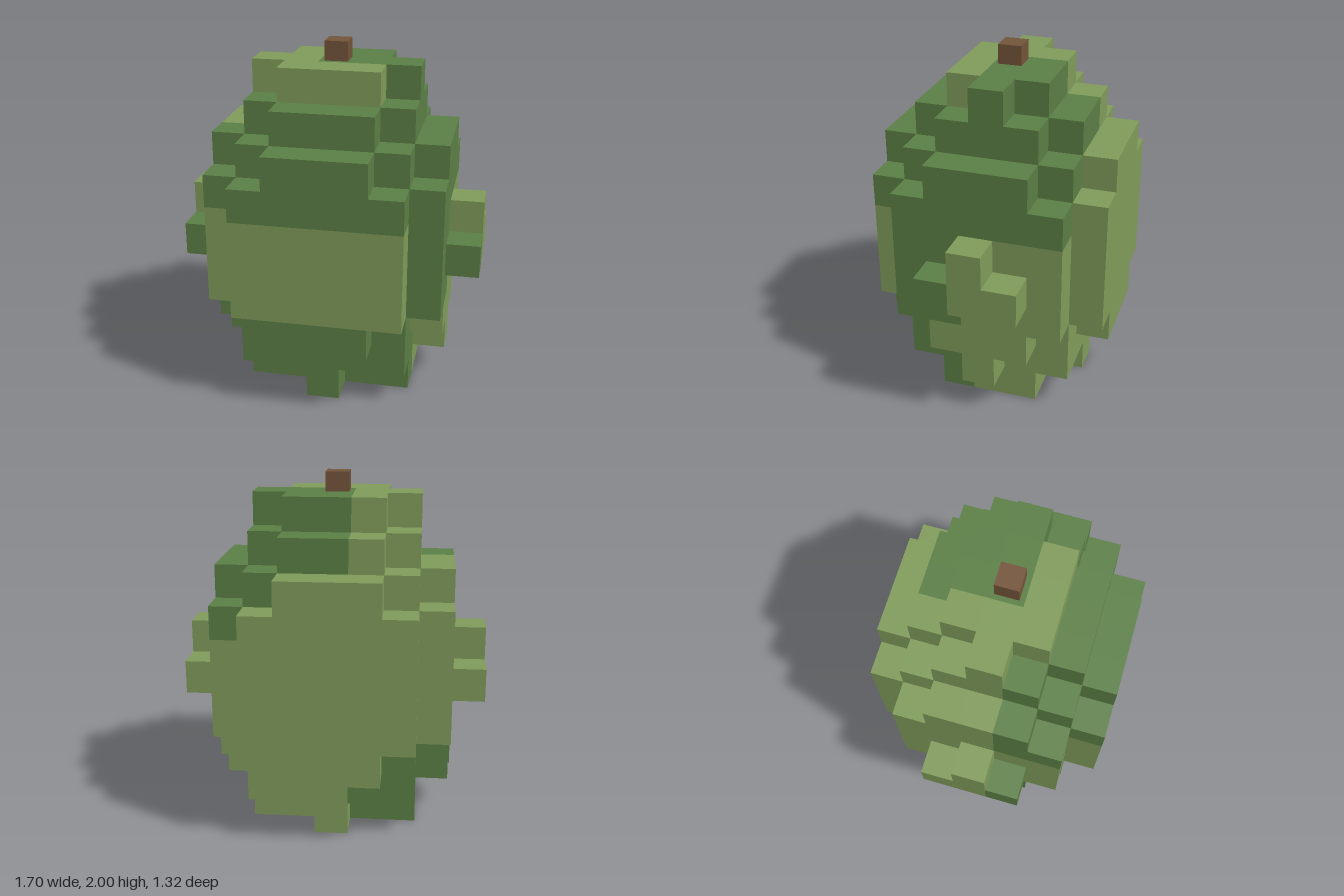
import * as THREE from 'three';
import { mergeGeometries } from 'three/addons/utils/BufferGeometryUtils.js';

const U = 0.189; // edge of one block

const lightGreen = new THREE.MeshStandardMaterial({ color: 0x809b5a });
lightGreen.name = 'light green';
const darkGreen = new THREE.MeshStandardMaterial({ color: 0x5b7f45 });
darkGreen.name = 'dark green';
const brown = new THREE.MeshStandardMaterial({ color: 0x73543a });
brown.name = 'stem brown';

// Block occupancy: mirrored left/right and front/back, layers counted upward
function solid(x, y, z) {
  const a = Math.abs(x), b = Math.abs(z);
  switch (y) {
    case 0: return (a <= 2 && b <= 1) || (a === 0 && b === 2);
    case 1: return (a <= 2 && b <= 2) || (a === 3 && b === 0);
    case 2:
    case 7: return (a <= 2 && b <= 2) || (a === 3 && b <= 1) || (a <= 1 && b === 3);
    case 3: case 4: case 5: case 6:
      if (a === 4) return (y === 4 && b <= 1) || (y === 5 && b === 0);
      return (a <= 2 && b <= 3) || (a === 3 && b <= 2);
    case 8: return (a <= 2 && b <= 1) || (a <= 1 && b === 2);
    case 9: return (a <= 1 && b <= 1) || (a === 2 && b === 0);
    default: return false;
  }
}

// Large colour patches on the rind
function isLight(x, y, z) {
  if (y === 9) return z >= 1 || x <= -1;
  if (y >= 6) return z === -3 || (z <= 0 && x <= -1);
  if (y >= 3) return !(z >= 1 && (x === 3 || Math.abs(x) === 4));
  if (z >= 1) return y === 2 && x === 3;
  return x >= 0 || z === -3;
}

function partOf(x, y) {
  if (Math.abs(x) === 4) return x > 0 ? 'leftKnob' : 'rightKnob';
  return y >= 8 ? 'crown' : y >= 3 ? 'body' : 'base';
}

// Outward directions with the turn that aims a plane that way
const H = Math.PI / 2;
const SIDES = [
  [0, 0, 1, 0, 0], [0, 0, -1, 0, Math.PI],
  [1, 0, 0, 0, H], [-1, 0, 0, 0, -H],
  [0, 1, 0, -H, 0], [0, -1, 0, H, 0],
];

export function createModel() {
  const model = new THREE.Group();
  model.name = 'blockFruit';
  const parts = {};

  // Collect the exposed faces of every block by part and colour
  for (let y = 0; y < 10; y++)
    for (let x = -4; x <= 4; x++)
      for (let z = -3; z <= 3; z++) {
        if (!solid(x, y, z)) continue;
        const part = (parts[partOf(x, y)] ??= { light: [], dark: [] });
        const list = isLight(x, y, z) ? part.light : part.dark;
        for (const [dx, dy, dz, rx, ry] of SIDES) {
          if (solid(x + dx, y + dy, z + dz)) continue;
          const face = new THREE.PlaneGeometry(U, U);
          face.rotateX(rx).rotateY(ry);
          face.translate((x + dx / 2) * U, (y + 0.5 + dy / 2) * U, (z + dz / 2) * U);
          list.push(face);
        }
      }

  for (const [name, { light, dark }] of Object.entries(parts)) {
    const group = new THREE.Group();
    group.name = name;
    for (const [shade, faces, material] of [['Light', light, lightGreen], ['Dark', dark, darkGreen]]) {
      if (!faces.length) continue;
      const mesh = new THREE.Mesh(mergeGeometries(faces), material);
      mesh.name = name + shade;
      group.add(mesh);
    }
    model.add(group);
  }

  // Short square stem
  const stem = new THREE.Mesh(new THREE.BoxGeometry(0.132, 0.11, 0.132), brown);
  stem.name = 'stem';
  stem.position.y = 10 * U + 0.055;
  model.add(stem);

  return model;
}
